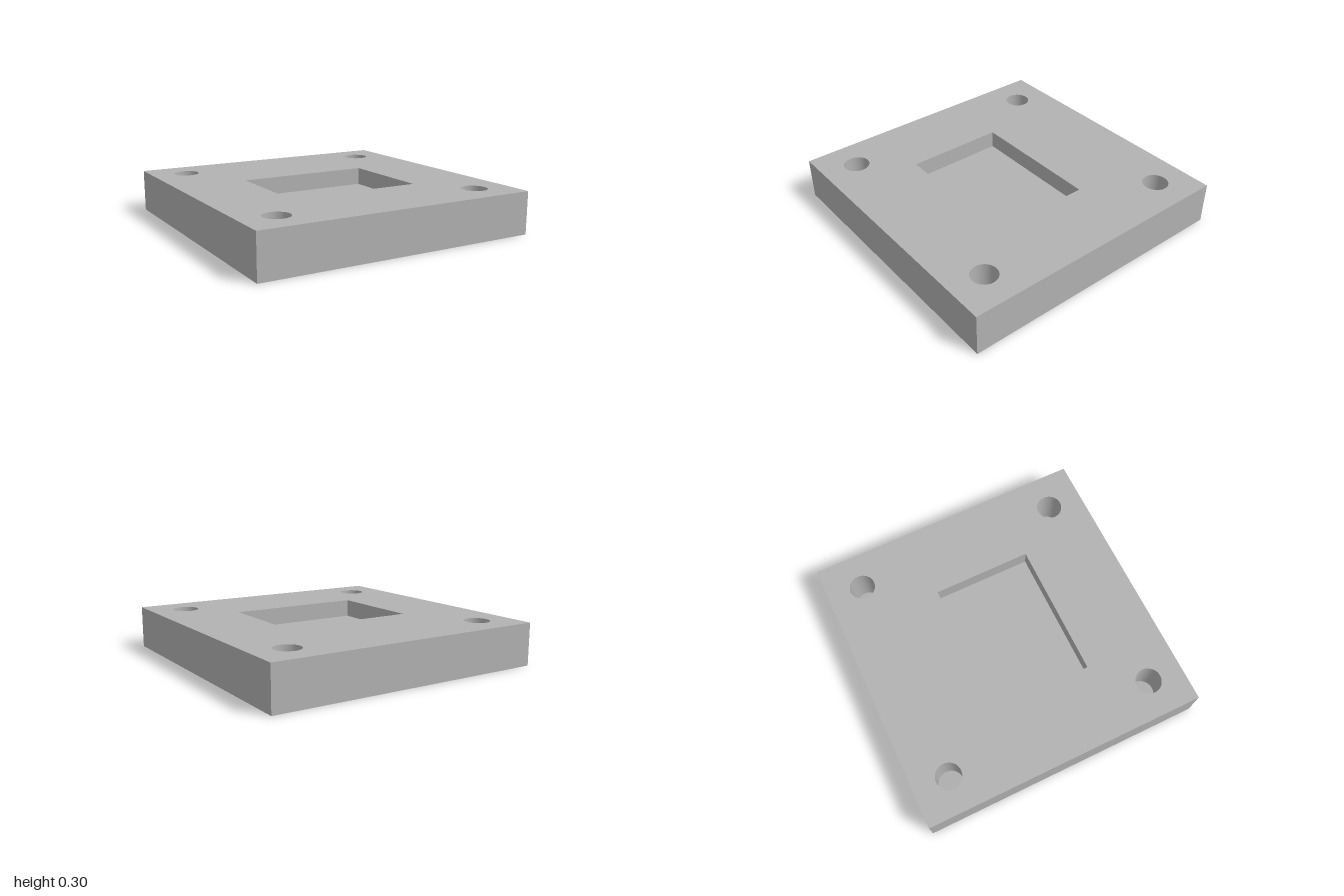
import * as THREE from 'three';
import { toCreasedNormals } from 'three/addons/utils/BufferGeometryUtils.js';

const HEIGHT = 0.3;
const HOLE_RADIUS = 0.09;
const HOLE_OFFSET = 0.75;
const TOP = 2, BOTTOM = 3; // face order in BoxGeometry

// Recesses: plan rectangle and vertical range
const topPocket = { x0: -0.48, x1: 0.48, z0: -0.28, z1: 0.42, y0: HEIGHT - 0.125, y1: HEIGHT };
const bottomSlot = { x0: -0.68, x1: -0.42, z0: -0.3, z1: 0.3, y0: 0, y1: 0.105 };

const corners = [];
for (const x of [-HOLE_OFFSET, HOLE_OFFSET])
  for (const z of [-HOLE_OFFSET, HOLE_OFFSET]) corners.push([x, z]);

// Box without the listed faces
function openBox({ x0, x1, y0, y1, z0, z1 }, skip) {
  const g = new THREE.BoxGeometry(x1 - x0, y1 - y0, z1 - z0);
  const index = Array.from(g.index.array);
  g.setIndex(index.filter((_, i) => !skip.includes(Math.floor(i / 6))));
  g.clearGroups();
  return g;
}

// Turn a symmetric shell inside out, so it shows as a cavity
function inward(g) {
  return toCreasedNormals(g.scale(-1, 1, 1), Math.PI / 5);
}

// Square face with four bolt holes and one recess mouth; s is the sign of z in the shape
function faceGeometry(r, s) {
  const rect = (path, x0, x1, y0, y1) =>
    path.moveTo(x0, y0).lineTo(x1, y0).lineTo(x1, y1).lineTo(x0, y1).closePath();
  const shape = rect(new THREE.Shape(), -1, 1, -1, 1);
  shape.holes.push(rect(new THREE.Path(), r.x0, r.x1, s * r.z0, s * r.z1));
  for (const [x, z] of corners)
    shape.holes.push(new THREE.Path().absarc(x, s * z, HOLE_RADIUS, 0, Math.PI * 2, true));
  return new THREE.ShapeGeometry(shape, 24).rotateX(s * Math.PI / 2);
}

export function createModel() {
  const model = new THREE.Group();
  model.name = 'mountingPlate';
  const grey = new THREE.MeshStandardMaterial({ color: 0xb2b2b2 });
  grey.name = 'plain grey';

  const add = (name, geometry, x = 0, y = 0, z = 0) => {
    const mesh = new THREE.Mesh(geometry, grey);
    mesh.name = name;
    mesh.position.set(x, y, z);
    model.add(mesh);
  };

  // Plate: outer sides, top and underside
  add('plateSides', openBox({ x0: -1, x1: 1, y0: 0, y1: HEIGHT, z0: -1, z1: 1 }, [TOP, BOTTOM]), 0, HEIGHT / 2);
  add('plateTop', faceGeometry(topPocket, -1), 0, HEIGHT);
  add('plateUnderside', faceGeometry(bottomSlot, 1));

  // Recesses, open at their mouths
  const addRecess = (name, r, mouth) =>
    add(name, inward(openBox(r, [mouth])), (r.x0 + r.x1) / 2, (r.y0 + r.y1) / 2, (r.z0 + r.z1) / 2);
  addRecess('topPocket', topPocket, TOP);
  addRecess('bottomSlot', bottomSlot, BOTTOM);

  // Bolt hole walls
  const hole = inward(new THREE.CylinderGeometry(HOLE_RADIUS, HOLE_RADIUS, HEIGHT, 48, 1, true));
  corners.forEach(([x, z]) => add('boltHole', hole, x, HEIGHT / 2, z));

  return model;
}
